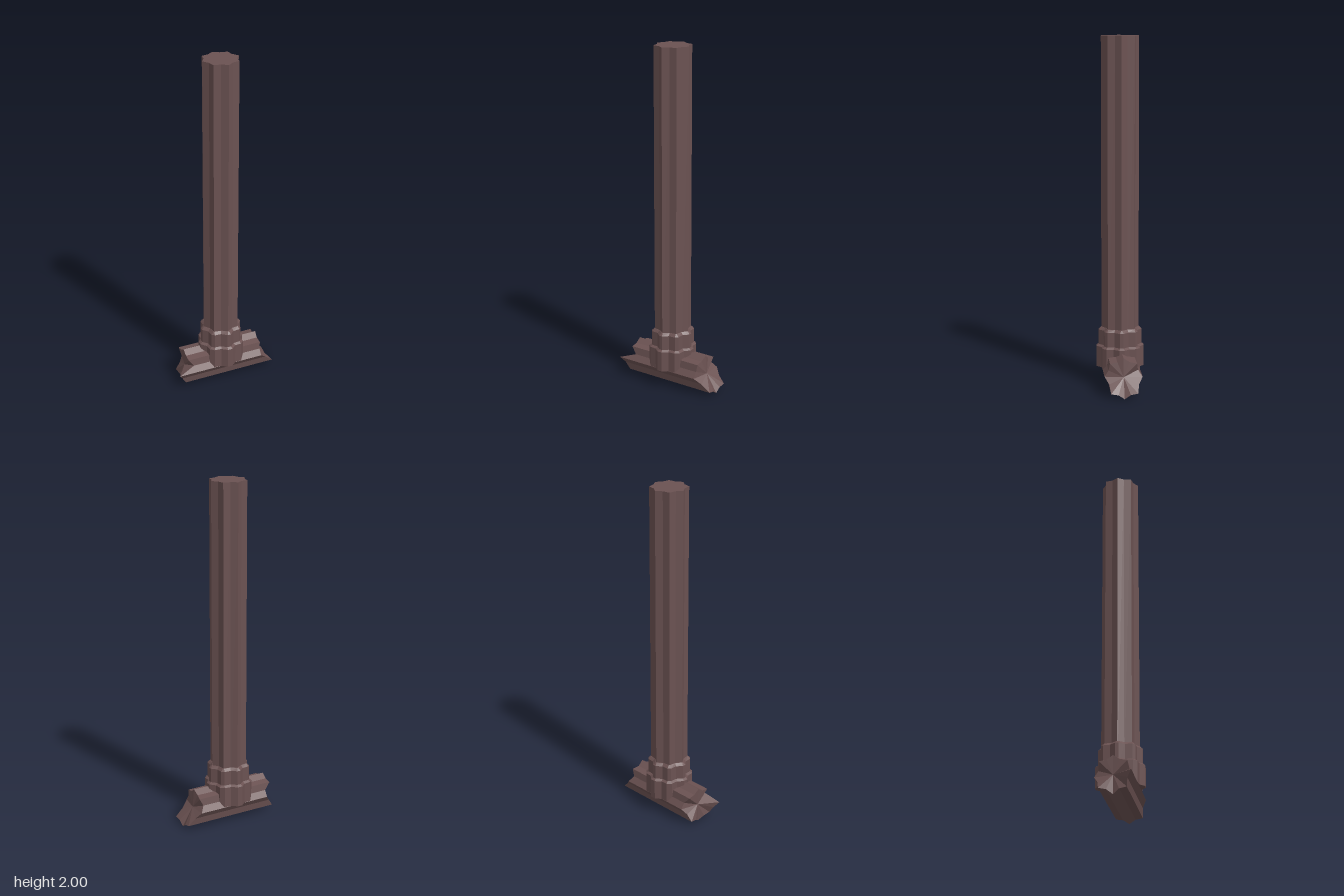
import * as THREE from 'three';

const material = new THREE.MeshStandardMaterial({ color: 0x6b5252, flatShading: true });

// Eight-lobed outline as [sin, cos] pairs; half is the half angle of a blunted lobe tip
function lobes(tip, valley, half = 0) {
  const points = [];
  const add = (angle, r) => {
    const a = THREE.MathUtils.degToRad(angle);
    points.push([Math.sin(a) * r, Math.cos(a) * r]);
  };
  for (let i = 0; i < 8; i++) {
    if (half) add(i * 45 - half, tip);
    add(i * 45 + half, tip);
    add(i * 45 + 22.5, valley);
  }
  return points;
}

// Joins rings of points from first to last and closes both ends with fans
function loft(name, rings, startCentre, endCentre) {
  const pos = [];
  const tri = (...corners) => corners.forEach((p) => pos.push(...p));
  const n = rings[0].length;
  for (let i = 0; i < n; i++) {
    const j = (i + 1) % n;
    for (let k = 0; k + 1 < rings.length; k++) {
      const a = rings[k], b = rings[k + 1];
      tri(a[i], a[j], b[j]);
      tri(a[i], b[j], b[i]);
    }
    const first = rings[0], last = rings[rings.length - 1];
    tri(startCentre, first[j], first[i]);
    tri(endCentre, last[i], last[j]);
  }
  const geometry = new THREE.BufferGeometry();
  geometry.setAttribute('position', new THREE.Float32BufferAttribute(pos, 3));
  geometry.computeVertexNormals();
  const mesh = new THREE.Mesh(geometry, material);
  mesh.name = name;
  return mesh;
}

// Upright part from [height, outline] levels
function upright(name, levels) {
  const rings = levels.map(([y, outline]) => outline.map(([x, z]) => [x, y, z]));
  return loft(name, rings, [0, levels[0][0], 0], [0, levels[levels.length - 1][0], 0]);
}

export function createModel() {
  const group = new THREE.Group();
  group.name = 'brokenPillar';

  // Fluted shaft
  const star = lobes(0.107, 0.09);
  group.add(upright('shaft', [[0.107, star], [2, star]]));

  // Two stacked collars with bevelled tops
  const inner = lobes(0.109, 0.092, 1.5);
  const middle = lobes(0.1235, 0.105, 4.7);
  const outer = lobes(0.137, 0.119, 6.3);
  group.add(upright('upperCollar', [[0.2, middle], [0.325, middle], [0.34, inner]]));
  group.add(upright('lowerCollar', [[0.11, outer], [0.23, outer], [0.24, middle]]));

  // Lying fluted beam with jagged ends; x of each outline point, from the top round by the front
  const leftEnd = [-0.24, -0.24, -0.24, -0.21, -0.31, -0.285, -0.26, -0.255,
    -0.24, -0.255, -0.26, -0.23, -0.205, -0.205, -0.24, -0.24];
  const rightEnd = [0.23, 0.225, 0.225, 0.22, 0.22, 0.26, 0.31, 0.308,
    0.306, 0.308, 0.31, 0.27, 0.24, 0.215, 0.235, 0.225];
  const end = (xs) => star.map(([z, y], i) => [xs[i], y + 0.107, z]);
  group.add(loft('crossBeam', [end(leftEnd), end(rightEnd)], [-0.235, 0.107, 0], [0.24, 0.107, 0]));

  return group;
}
